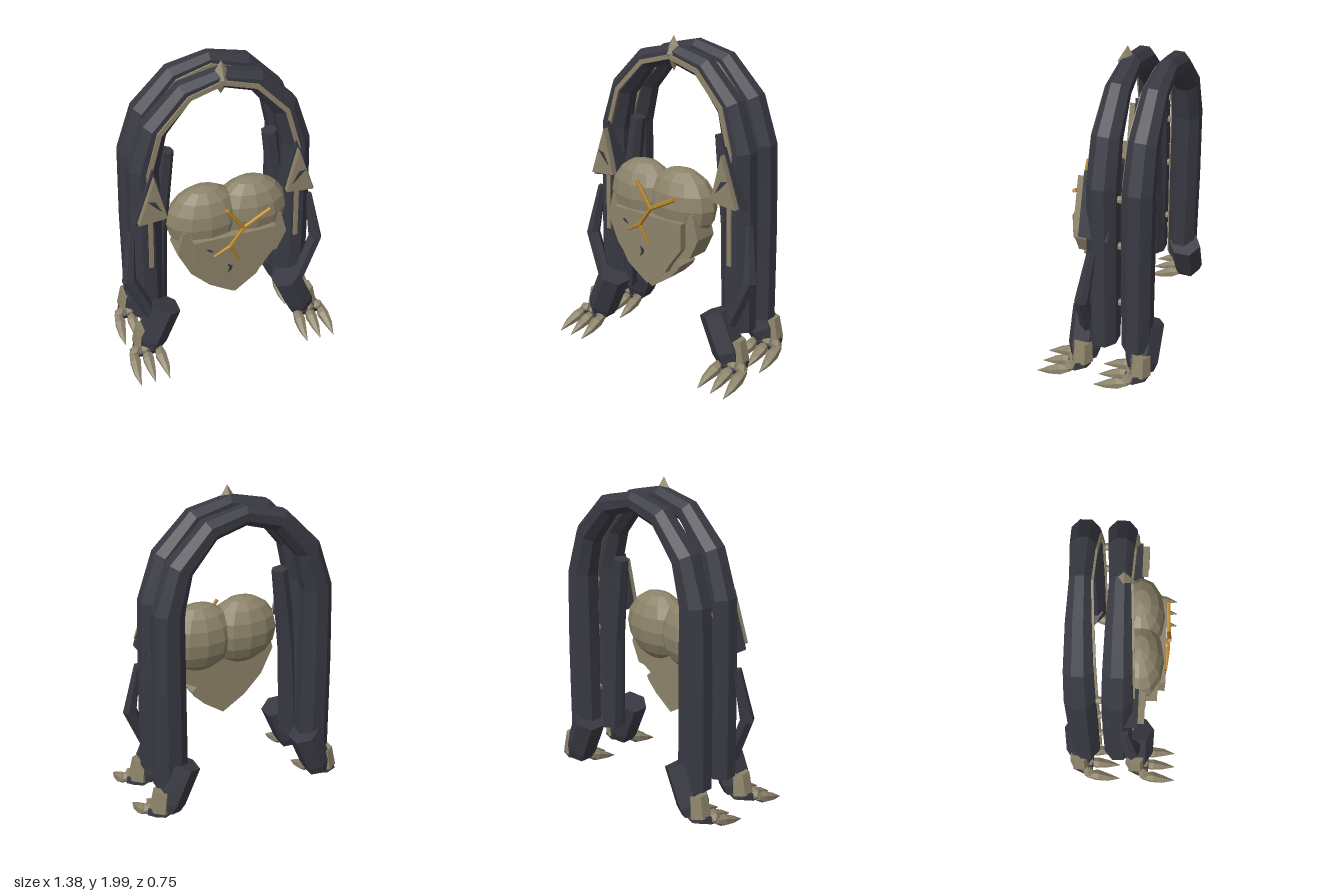
import * as THREE from 'three';

const mat = (name, color, extra = {}) => {
  const m = new THREE.MeshStandardMaterial({ color, flatShading: true, ...extra });
  m.name = name;
  return m;
};

// Faceted limb: rings [x, y, z, rN, rB] joined along a path. rN is measured along ref.
function limb(rings, sides, ref = [0, 0, 1], turn = 0.5) {
  const pts = rings.map(r => new THREE.Vector3(r[0], r[1], r[2]));
  const loops = rings.map((r, i) => {
    const a = pts[Math.max(i - 1, 0)], b = pts[Math.min(i + 1, pts.length - 1)];
    const t = b.clone().sub(a).normalize();
    const n = new THREE.Vector3(...ref);
    n.addScaledVector(t, -n.dot(t)).normalize();
    const bi = t.clone().cross(n);
    return Array.from({ length: sides }, (_, k) => {
      const ang = ((k + turn) / sides) * Math.PI * 2;
      return pts[i].clone()
        .addScaledVector(n, Math.cos(ang) * r[3])
        .addScaledVector(bi, Math.sin(ang) * (r[4] ?? r[3]));
    });
  });
  const out = [];
  const last = loops.length - 1;
  for (let k = 0; k < sides; k++) {
    const m = (k + 1) % sides;
    for (let i = 0; i < last; i++) {
      const a = loops[i], b = loops[i + 1];
      out.push(a[k], a[m], b[m], a[k], b[m], b[k]);
    }
    out.push(pts[0], loops[0][m], loops[0][k], pts[last], loops[last][k], loops[last][m]);
  }
  const g = new THREE.BufferGeometry().setFromPoints(out);
  g.computeVertexNormals();
  return g;
}

// Flat outline extruded from z0 to z1
function slab(points, z0, z1) {
  const shape = new THREE.Shape(points.map(p => new THREE.Vector2(p[0], p[1])));
  return new THREE.ExtrudeGeometry(shape, { depth: z1 - z0, bevelEnabled: false }).translate(0, 0, z0);
}

export function createModel() {
  const bone = mat('bone', 0x8d836a);
  const dark = mat('charcoal', 0x393943);
  const gold = mat('gold', 0xb5852a);
  const root = new THREE.Group();
  const add = (name, geo, material, parent = root) => {
    const mesh = new THREE.Mesh(geo, material);
    mesh.name = name;
    parent.add(mesh);
    return mesh;
  };

  // Arches: half profile [x, y, radius across z, radius in plane], mirrored over the crown
  const half = [
    [0.49, 0.27, 0.095, 0.11], [0.485, 0.9, 0.098, 0.105], [0.475, 1.38, 0.095, 0.097],
    [0.4, 1.635, 0.088, 0.083], [0.215, 1.835, 0.075, 0.07], [0, 1.89, 0.062, 0.062],
  ];
  const mirrorPath = h => [...h, ...h.slice(0, -1).reverse().map(p => [-p[0], ...p.slice(1)])];
  [['front', -0.02, 0.7], ['back', -0.23, 0.27]].forEach(([label, z, trimEnd]) => {
    add(label + 'Arch', limb(mirrorPath(half.map(p => [p[0], p[1], z, p[2], p[3]])), 8), dark);
    const trim = half.map((p, i) => [p[0] - (i && i < 5 ? 0.012 : 0.012 * (i === 0)),
      i === 0 ? trimEnd : i === 1 ? Math.max(p[1], trimEnd + 0.1) : p[1] - (i > 3 ? 0.01 : 0),
      z + p[2] * 0.92, 0.018, 0.02]);
    add(label + 'ArchTrim', limb(mirrorPath(trim), 4), bone);
  });

  // Crown spike
  add('crownSpike', new THREE.OctahedronGeometry(1).scale(0.065, 0.105, 0.06).translate(0, 1.895, 0), bone);

  for (const s of [1, -1]) {
    const side = new THREE.Group();
    side.name = s > 0 ? 'leftSide' : 'rightSide';
    root.add(side);

    // Pegs joining the two arches
    for (const y of [1.3, 0.98, 0.56]) {
      add('archPeg', new THREE.CylinderGeometry(0.022, 0.022, 0.1, 6).rotateX(Math.PI / 2)
        .translate(0.48 * s, y, -0.125), bone, side);
    }

    // Inner strut leaning into the arch
    add('innerStrut', limb([[0.44 * s, 0.29, -0.03, 0.075], [0.4 * s, 0.9, -0.04, 0.062],
      [0.325 * s, 1.45, -0.05, 0.05]], 7), dark, side);

    // Bent outer arm
    add('outerArm', limb([[0.5 * s, 0.34, 0.09, 0.045, 0.045], [0.625 * s, 0.64, 0.07, 0.045, 0.045],
      [0.58 * s, 0.96, 0.02, 0.03, 0.022]], 6), dark, side);

    // Triangular shoulder guard with bone face
    add('shoulderGuard', slab([[0.445 * s, 1.43], [0.575 * s, 1.06], [0.365 * s, 1.09]], -0.08, 0.1), dark, side);
    add('shoulderPlate', slab([[0.447 * s, 1.39], [0.555 * s, 1.085], [0.378 * s, 1.1]], 0.1, 0.138), bone, side);
    add('shoulderScar', slab([[0.495, 1.245], [0.45, 1.235], [0.41, 1.155], [0.445, 1.19]]
      .map(p => [p[0] * s, p[1]]), 0.138, 0.141), dark, side);

    // Paws, one under each arch
    for (const [label, z] of [['front', 0], ['back', -0.375]]) {
      const paw = new THREE.Group();
      paw.name = label + 'Paw';
      paw.position.z = z;
      side.add(paw);
      add('cuff', limb([[0.53 * s, 0.11, 0.11, 0.085, 0.085], [0.51 * s, 0.17, 0.11, 0.105, 0.1],
        [0.41 * s, 0.4, 0.108, 0.108, 0.1]], 6, [0, 0, 1], 0), dark, paw);
      const ankle = add('anklePlate', new THREE.CylinderGeometry(0.06, 0.07, 0.14, 6), bone, paw);
      ankle.position.set(0.565 * s, 0.185, 0.1);
      ankle.rotation.z = 0.15 * s;
      add('foot', limb([[0.565 * s, 0.12, 0.06, 0.07, 0.04], [0.565 * s, 0.1, 0.13, 0.1, 0.045],
        [0.565 * s, 0.08, 0.18, 0.09, 0.03]], 6, [1, 0, 0]), dark, paw);
      for (const x of [0.485, 0.57, 0.655]) {
        add('knuckle', new THREE.IcosahedronGeometry(0.04).translate((x * 0.8 + 0.114) * s, 0.105, 0.155), bone, paw);
        const tip = 0.57 + (x - 0.57) * 1.1;
        add('claw', limb([[x * s, 0.095, 0.15, 0.025, 0.02], [x * s, 0.07, 0.215, 0.038, 0.038],
          [tip * s, 0.045, 0.29, 0.027, 0.024], [tip * s, 0.015, 0.37, 0.002, 0.002]], 6, [1, 0, 0]), bone, paw);
      }
    }

    // Heart lobe
    add('heartLobe', new THREE.SphereGeometry(1, 12, 8).scale(0.237, 0.222, 0.15)
      .translate(0.145 * s, 1.03, 0.1), bone, side);
  }

  // Tapered heart body, chipped on its left edge
  add('heartBody', slab([[-0.31, 1.02], [-0.35, 0.87], [-0.27, 0.7], [-0.15, 0.575], [0, 0.48],
    [0.13, 0.57], [0.2, 0.64], [0.215, 0.67], [0.18, 0.7], [0.24, 0.735], [0.29, 0.74],
    [0.35, 0.87], [0.31, 1.02]], 0.06, 0.215), bone);

  // Raised chest plate
  add('heartPlate', slab([[-0.26, 0.965], [-0.26, 0.8], [-0.15, 0.62], [0, 0.52], [0.14, 0.625],
    [0.17, 0.68], [0.26, 0.8], [0.26, 0.965]], 0.2, 0.262), bone);

  // Dark scars on the plate
  const scars = [
    [[-0.185, 0.9], [-0.165, 0.9], [-0.14, 0.875], [-0.165, 0.88]],
    [[-0.05, 0.755], [-0.02, 0.735], [-0.025, 0.71], [-0.05, 0.685], [-0.04, 0.72]],
  ];
  scars.forEach(p => add('heartScar', slab(p, 0.262, 0.266), dark));

  // Branching gold vein
  const vein = [
    [[-0.06, 1.17, 0.275], [0.045, 1.02, 0.275]], [[0.215, 1.11, 0.265], [0.045, 1.02, 0.275]],
    [[0.045, 1.02, 0.275], [-0.04, 0.9, 0.275]], [[-0.04, 0.9, 0.275], [-0.14, 0.84, 0.268]],
    [[-0.04, 0.9, 0.275], [0.02, 0.78, 0.265]],
  ];
  vein.forEach(([a, b], i) => add('goldVein',
    limb([[...a, 0.013], [...b, i > 2 ? 0.007 : 0.013]], 6), gold));

  return root;
}
